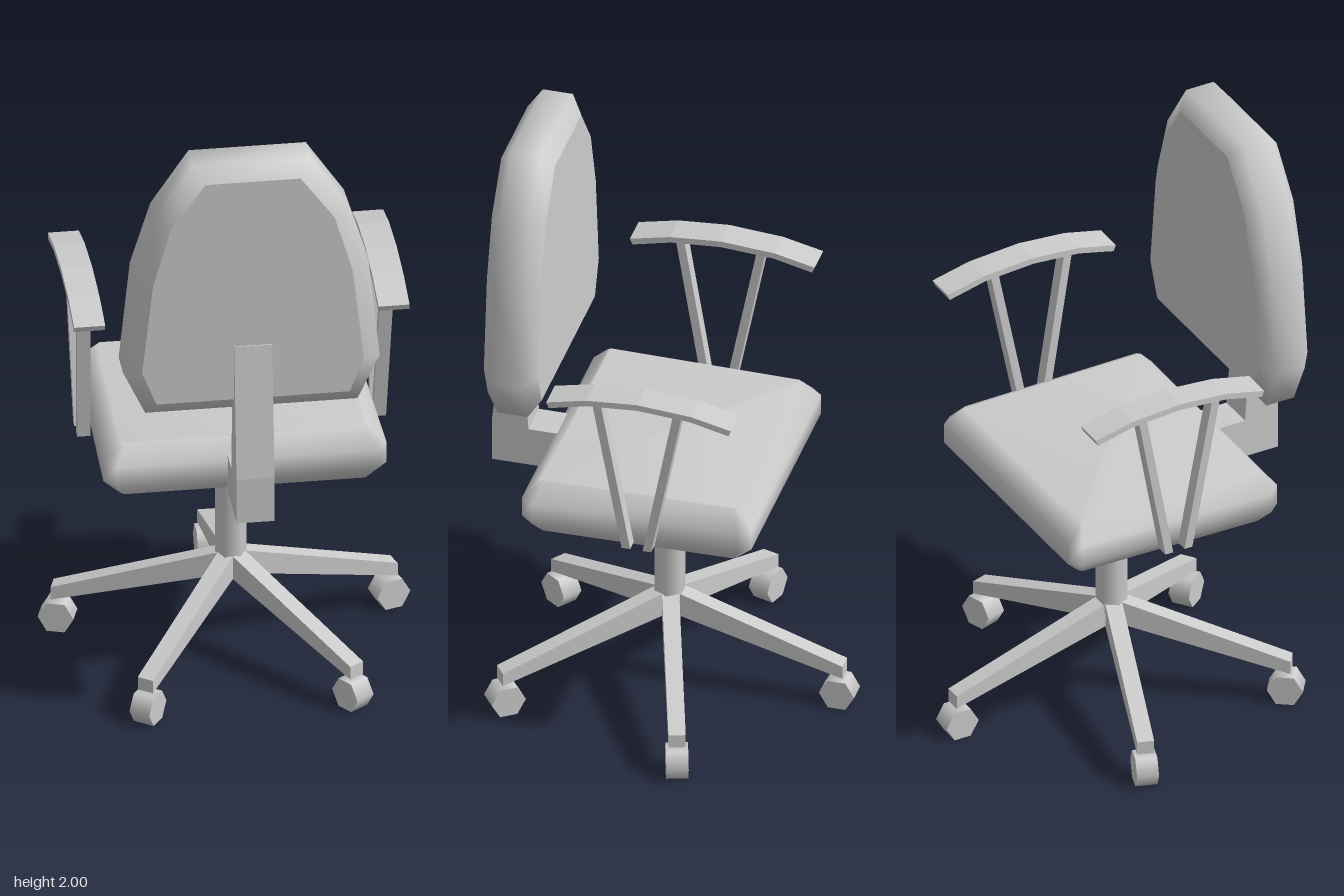
import * as THREE from 'three';

const material = new THREE.MeshStandardMaterial({ color: 0xcccccc });

function part(name, geometry) {
  const mesh = new THREE.Mesh(geometry, material);
  mesh.name = name;
  return mesh;
}

// Right half of an outline (bottom to top), completed by its mirror image
const mirrored = half => [...half, ...half.map(([x, y]) => [-x, y]).reverse()];

// Skin through counter-clockwise outlines placed along z; capped at both ends
function loft(rings, sharpCaps) {
  const n = rings[0].outline.length;
  const positions = [];
  const index = [];
  const addRing = r => {
    const start = positions.length / 3;
    r.outline.forEach(([x, y]) => positions.push(x, y, r.z));
    return start;
  };
  const starts = rings.map(addRing);
  for (let k = 0; k < rings.length - 1; k++) {
    for (let i = 0; i < n; i++) {
      const j = (i + 1) % n;
      const a = starts[k] + i, b = starts[k] + j;
      const c = starts[k + 1] + j, d = starts[k + 1] + i;
      index.push(a, b, c, a, c, d);
    }
  }
  const last = rings.length - 1;
  const low = sharpCaps ? addRing(rings[0]) : starts[0];
  const high = sharpCaps ? addRing(rings[last]) : starts[last];
  for (let i = 1; i < n - 1; i++) {
    index.push(low, low + i + 1, low + i, high, high + i, high + i + 1);
  }
  const g = new THREE.BufferGeometry();
  g.setAttribute('position', new THREE.Float32BufferAttribute(positions, 3));
  g.setIndex(index);
  g.computeVertexNormals();
  return g;
}

// Side profile given as [z, y], extruded across x and centred
function sideExtrude(profile, width) {
  const shape = new THREE.Shape(profile.map(p => new THREE.Vector2(...p)));
  const g = new THREE.ExtrudeGeometry(shape, { depth: width, bevelEnabled: false });
  return g.translate(0, 0, -width / 2).rotateY(-Math.PI / 2);
}

// Box bar leaning from one [x, y, z] to another with level ends
function strut(from, to, w, d) {
  const h = to[1] - from[1];
  const g = new THREE.BoxGeometry(w, h, d).translate(0, h / 2, 0);
  const p = g.attributes.position;
  for (let i = 0; i < p.count; i++) {
    const t = p.getY(i) / h;
    p.setXYZ(i,
      p.getX(i) + THREE.MathUtils.lerp(from[0], to[0], t),
      p.getY(i) + from[1],
      p.getZ(i) + THREE.MathUtils.lerp(from[2], to[2], t));
  }
  g.computeVertexNormals();
  return g;
}

export function createModel() {
  const chair = new THREE.Group();
  chair.name = 'officeChair';

  // Seat cushion: wide, softened slab
  const seatWide = mirrored([[0.41, -0.387], [0.447, -0.345], [0.43, 0.32], [0.4, 0.355]]);
  const seatFlat = mirrored([[0.38, -0.335], [0.39, -0.325], [0.38, 0.29], [0.37, 0.3]]);
  const seat = loft([
    { outline: seatFlat, z: 0.742 },
    { outline: seatWide, z: 0.8 },
    { outline: seatWide, z: 0.868 },
    { outline: seatFlat, z: 0.926 },
  ], false);
  chair.add(part('seat', seat.rotateX(-Math.PI / 2)));

  // Backrest: tapering panel with bevelled rim and flat faces
  const backWide = mirrored([[0.335, 1.12], [0.405, 1.27], [0.37, 1.61], [0.305, 1.82], [0.185, 2]]);
  const backFlat = mirrored([[0.305, 1.17], [0.35, 1.285], [0.315, 1.6], [0.258, 1.8], [0.15, 1.95]]);
  chair.add(part('backrest', loft([
    { outline: backFlat, z: 0.353 },
    { outline: backWide, z: 0.39 },
    { outline: backWide, z: 0.488 },
    { outline: backFlat, z: 0.528 },
  ], true)));

  // Bracket joining seat and backrest
  chair.add(part('backSupport', sideExtrude([
    [0.37, 0.753], [0.583, 0.753], [0.583, 0.91], [0.532, 1.36],
    [0.5, 1.36], [0.465, 0.885], [0.37, 0.885],
  ], 0.12)));

  // Stepped hexagonal column
  const hub = 0.022;
  [['columnSleeve', 0.05, 0.3, 0.605], ['columnCollar', 0.033, 0.6, 0.662], ['columnPiston', 0.022, 0.66, 0.76]]
    .forEach(([name, r, y0, y1]) => {
      const g = new THREE.CylinderGeometry(r, r, y1 - y0, 6).rotateY(Math.PI / 6);
      chair.add(part(name, g.translate(0, (y0 + y1) / 2, hub)));
    });

  // Five-legged base with hexagonal castors
  const legGeometry = sideExtrude([
    [0, 0.262], [0.567, 0.11], [0.567, 0.155], [0.04, 0.333], [0, 0.333],
  ], 0.054);
  const castorGeometry = new THREE.CylinderGeometry(0.057, 0.057, 0.07, 6)
    .rotateZ(Math.PI / 2).translate(0, 0.05, 0.55);
  for (let i = 0; i < 5; i++) {
    const spoke = new THREE.Group();
    spoke.name = 'baseSpoke';
    spoke.position.z = hub;
    spoke.rotation.y = Math.PI + i * Math.PI * 2 / 5;
    spoke.add(part('leg', legGeometry), part('castor', castorGeometry));
    chair.add(spoke);
  }

  // Armrests: curved pad on two splayed struts per side
  const padTop = [[0.275, 1.32], [0.145, 1.35], [-0.02, 1.363], [-0.195, 1.35], [-0.325, 1.32]];
  const padBottom = [[-0.317, 1.3], [-0.192, 1.33], [-0.02, 1.342], [0.142, 1.33], [0.267, 1.3]];
  const padGeometry = sideExtrude([...padTop, ...padBottom], 0.098);
  for (const side of [1, -1]) {
    const arm = new THREE.Group();
    arm.name = side > 0 ? 'leftArm' : 'rightArm';
    const pad = part('armPad', padGeometry);
    pad.position.x = side * 0.48;
    arm.add(pad);
    for (const [bottomZ, topZ] of [[0.028, 0.122], [-0.04, -0.145]]) {
      arm.add(part('armStrut', strut(
        [side * 0.466, 0.79, bottomZ], [side * 0.48, 1.336, topZ], 0.042, 0.028)));
    }
    chair.add(arm);
  }

  return chair;
}
